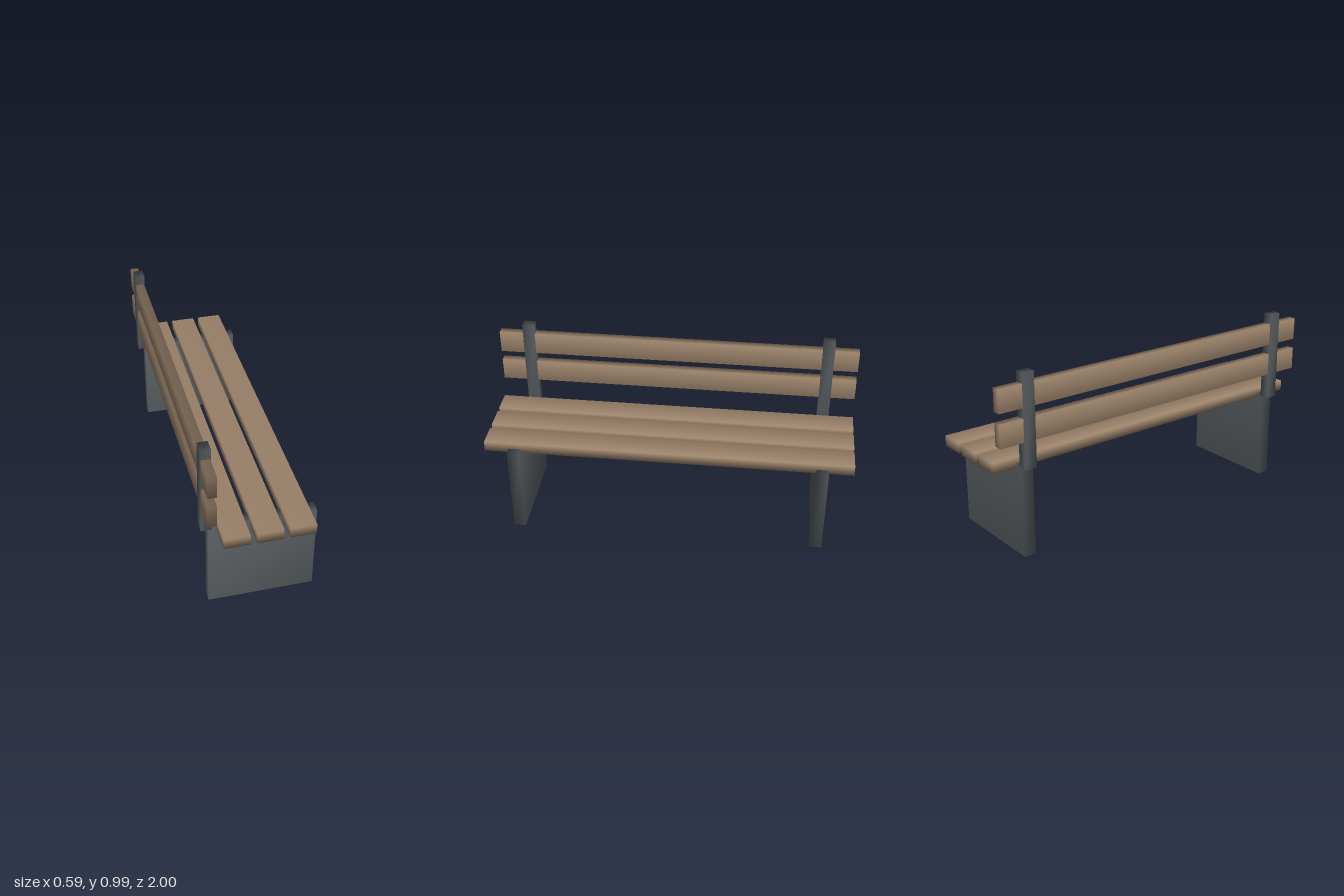
import * as THREE from 'three';
import { mergeVertices } from 'three/addons/utils/BufferGeometryUtils.js';

const wood = new THREE.MeshStandardMaterial({ color: 0x9c836b });
const metal = new THREE.MeshStandardMaterial({ color: 0x565b5f });

// Box given by its min/max extents, with normals shared smoothly across the corners
function block(name, material, [x0, x1], [y0, y1], [z0, z1]) {
  const box = new THREE.BoxGeometry(x1 - x0, y1 - y0, z1 - z0);
  box.deleteAttribute('normal');
  box.deleteAttribute('uv');
  const geometry = mergeVertices(box);
  geometry.computeVertexNormals();
  const mesh = new THREE.Mesh(geometry, material);
  mesh.name = name;
  mesh.position.set((x0 + x1) / 2, (y0 + y1) / 2, (z0 + z1) / 2);
  return mesh;
}

export function createModel() {
  const bench = new THREE.Group();
  bench.name = 'bench';
  const length = [-1, 1];

  // Seat planks, sunk slightly into the leg panels
  for (const x of [-0.148, 0.019, 0.185]) {
    bench.add(block('seatPlank', wood, [x - 0.067, x + 0.067], [0.478, 0.535], length));
  }

  // Backrest planks
  for (const y of [0.696, 0.874]) {
    bench.add(block('backPlank', wood, [-0.293, -0.248], [y - 0.061, y + 0.061], length));
  }

  // Leg panel and backrest post at each end
  for (const side of [-1, 1]) {
    const z = side * 0.833;
    const depth = [z - 0.033, z + 0.033];
    bench.add(block('legPanel', metal, [-0.26, 0.297], [0, 0.5], depth));
    bench.add(block('backPost', metal, [-0.297, -0.244], [0.49, 0.99], depth));
  }
  return bench;
}
